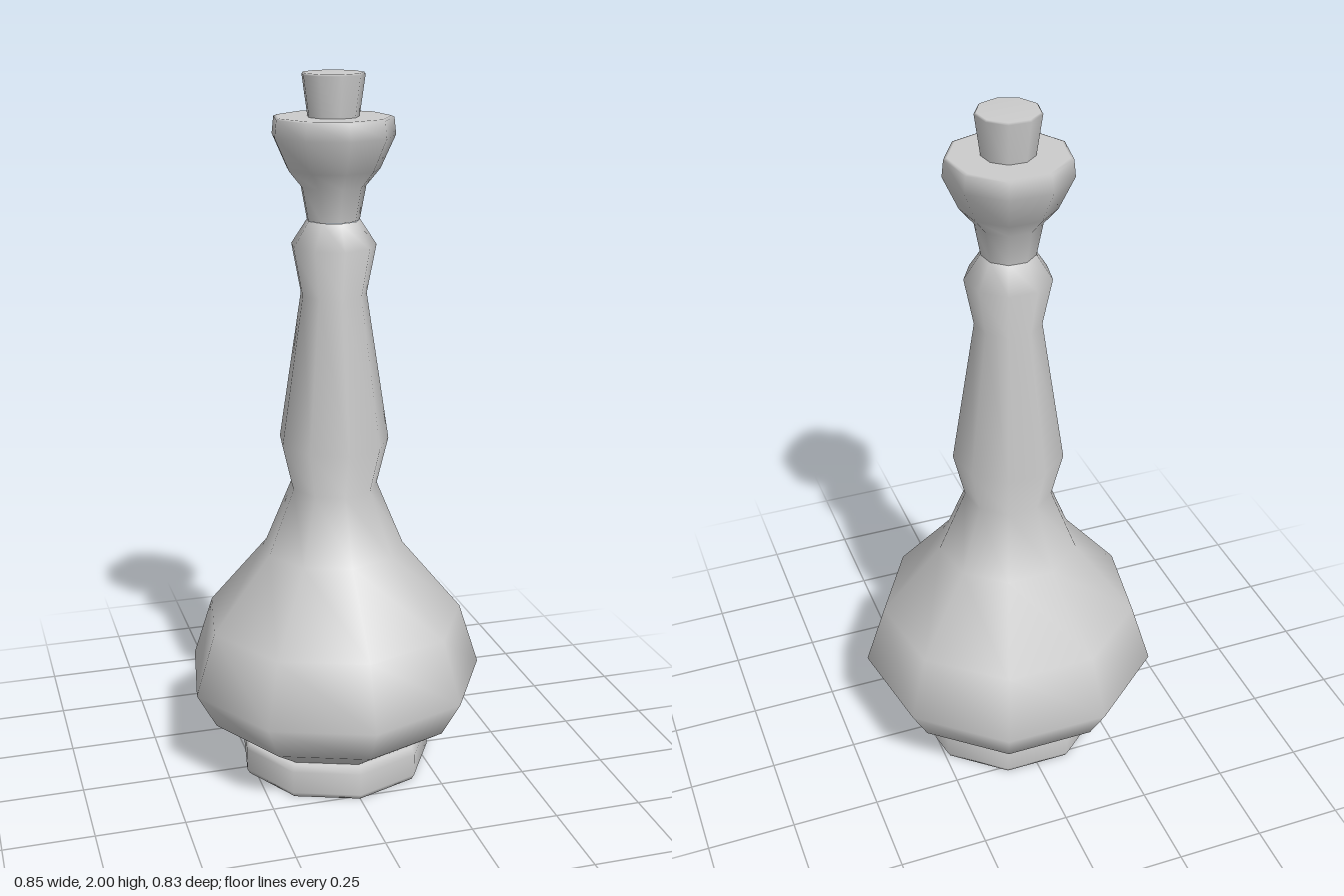
import * as THREE from 'three';

const SIDES = 9;

export function createModel() {
  const group = new THREE.Group();
  const material = new THREE.MeshStandardMaterial({ color: 0xcccccc });

  // Nine-sided turned part from [radius, height] pairs, listed bottom to top
  const turned = (name, profile, z = -0.015) => {
    const points = profile.map(([r, y]) => new THREE.Vector2(r, y));
    const mesh = new THREE.Mesh(new THREE.LatheGeometry(points, SIDES), material);
    mesh.name = name;
    mesh.position.z = z; // one corner faces +z, so the axis sits slightly back
    group.add(mesh);
  };

  // Foot ring with softened edges and a closed underside
  turned('foot', [
    [0, 0.005], [0.273, 0.005], [0.281, 0.02], [0.281, 0.085], [0.27, 0.105], [0.2, 0.108],
  ], -0.01);

  // Bulbous body rising into the slender neck
  turned('body', [
    [0.262, 0.105], [0.372, 0.18], [0.43, 0.286], [0.372, 0.467], [0.2, 0.675],
    [0.124, 0.86], [0.156, 0.992], [0.092, 1.41], [0.118, 1.544], [0.073, 1.613],
  ]);

  // Flared mouth with a flat top
  turned('mouth', [
    [0.073, 1.613], [0.09, 1.703], [0.128, 1.748], [0.169, 1.837], [0.164, 1.883], [0.155, 1.887], [0, 1.885],
  ], -0.018);

  // Tapered stopper
  turned('stopper', [[0.069, 1.875], [0.086, 1.995], [0.082, 2], [0, 2]], -0.016);

  return group;
}
